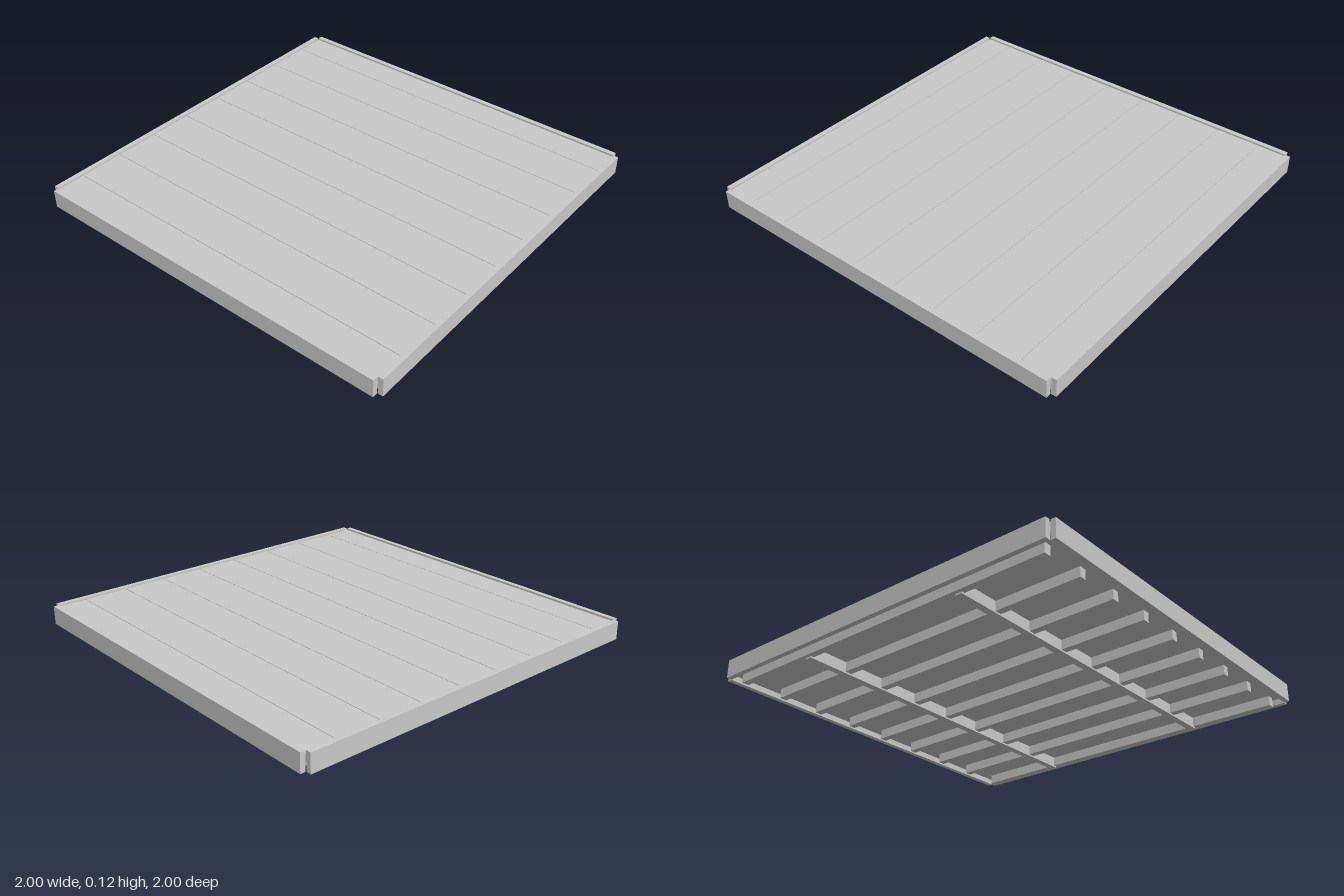
import * as THREE from 'three';

export function createModel() {
  const deck = new THREE.Group();
  deck.name = 'deckPlatform';
  const grey = new THREE.MeshStandardMaterial({ color: 0xcacaca });
  grey.name = 'plain grey';

  // box given by its minimum and maximum corners
  function block(name, [x0, y0, z0], [x1, y1, z1]) {
    const geometry = new THREE.BoxGeometry(x1 - x0, y1 - y0, z1 - z0);
    const mesh = new THREE.Mesh(geometry, grey);
    mesh.position.set((x0 + x1) / 2, (y0 + y1) / 2, (z0 + z1) / 2);
    mesh.name = name;
    deck.add(mesh);
  }

  // base sheet under the boards, forming the floor of the grooves
  const inner = 0.974, underside = 0.057, floor = 0.106;
  block('subfloor', [-inner, underside, -inner], [inner, floor, inner]);

  // nine boards along x; the outer two are cut narrower
  const pitch = 0.234, gap = 0.003;
  for (let i = -4; i <= 4; i++) {
    const z0 = Math.max((i - 0.5) * pitch + gap / 2, -inner);
    const z1 = Math.min((i + 0.5) * pitch - gap / 2, inner);
    block('floorBoard', [-inner, floor, z0], [inner, 0.112, z1]);
  }

  // fascia boards around the edge, leaving notched corners
  const run = 0.972, low = 0.028, high = 0.122;
  for (const s of [-1, 1]) {
    const a = Math.min(s, s * inner), b = Math.max(s, s * inner);
    block(s > 0 ? 'frontFascia' : 'backFascia', [-run, low, a], [run, high, b]);
    block(s > 0 ? 'leftFascia' : 'rightFascia', [a, low, -run], [b, high, run]);
  }

  // nine joists along z
  const half = 0.018;
  for (let i = -4; i <= 4; i++) {
    const x = i * 0.2315;
    block('joist', [x - half, 0.008, -0.923], [x + half, underside, 0.923]);
  }

  // two bearers along x, slightly deeper than the joists
  for (const z of [-0.463, 0.463]) {
    block('bearer', [-0.925, 0, z - half], [0.925, underside, z + half]);
  }
  return deck;
}
